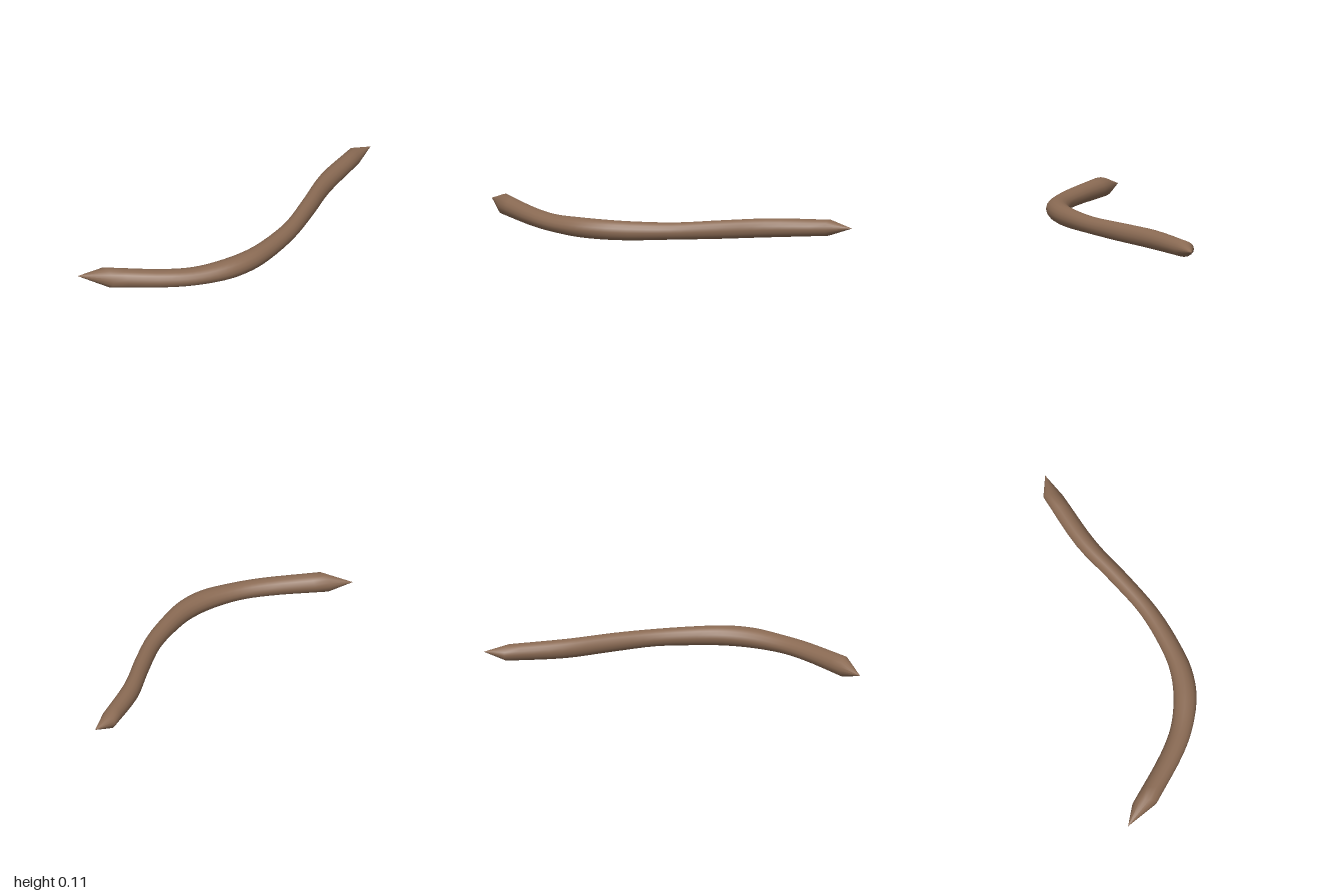
import * as THREE from 'three';

export function createModel() {
  const group = new THREE.Group();
  const bark = new THREE.MeshStandardMaterial({ color: 0x8b6b54 });
  bark.name = 'brown';

  // Stations along the body: x, centre y, centre z, half height, half depth
  const stations = [
    [-0.875, 0.057, 0.065, 0.053, 0.065],
    [-0.6, 0.052, 0.225, 0.047, 0.062],
    [-0.45, 0.051, 0.284, 0.046, 0.059],
    [-0.28, 0.054, 0.31, 0.052, 0.061],
    [-0.13, 0.055, 0.294, 0.053, 0.058],
    [0, 0.054, 0.248, 0.051, 0.055],
    [0.2, 0.055, 0.145, 0.046, 0.054],
    [0.4, 0.055, -0.005, 0.05, 0.057],
    [0.6, 0.053, -0.167, 0.051, 0.058],
    [0.875, 0.052, -0.327, 0.043, 0.053],
  ];
  const centres = new THREE.CatmullRomCurve3(stations.map(s => new THREE.Vector3(s[0], s[1], s[2])));
  const radii = new THREE.CatmullRomCurve3(stations.map(s => new THREE.Vector3(s[0], s[3], s[4])));

  // Upright oval rings, closed by a pointed tip at each end
  const steps = 36, sides = 16;
  const rings = [[new THREE.Vector3(-1, 0.054, -0.03), 0, 0]];
  for (let i = 0; i <= steps; i++) {
    const r = radii.getPoint(i / steps);
    rings.push([centres.getPoint(i / steps), r.y, r.z]);
  }
  rings.push([new THREE.Vector3(0.995, 0.054, -0.364), 0, 0]);

  const positions = [], index = [];
  rings.forEach(([c, ry, rz], i) => {
    for (let j = 0; j < sides; j++) {
      const a = (j / sides) * Math.PI * 2;
      positions.push(c.x, c.y + ry * Math.cos(a), c.z + rz * Math.sin(a));
      if (i === rings.length - 1) continue;
      const k = (j + 1) % sides;
      const p = i * sides + j, q = i * sides + k;
      if (i > 0) index.push(p, q, p + sides);
      if (i < rings.length - 2) index.push(q, q + sides, p + sides);
      else continue;
    }
  });

  const geometry = new THREE.BufferGeometry();
  geometry.setAttribute('position', new THREE.Float32BufferAttribute(positions, 3));
  geometry.setIndex(index);
  geometry.computeVertexNormals();

  const body = new THREE.Mesh(geometry, bark);
  body.name = 'curvedBody';
  group.add(body);
  return group;
}
